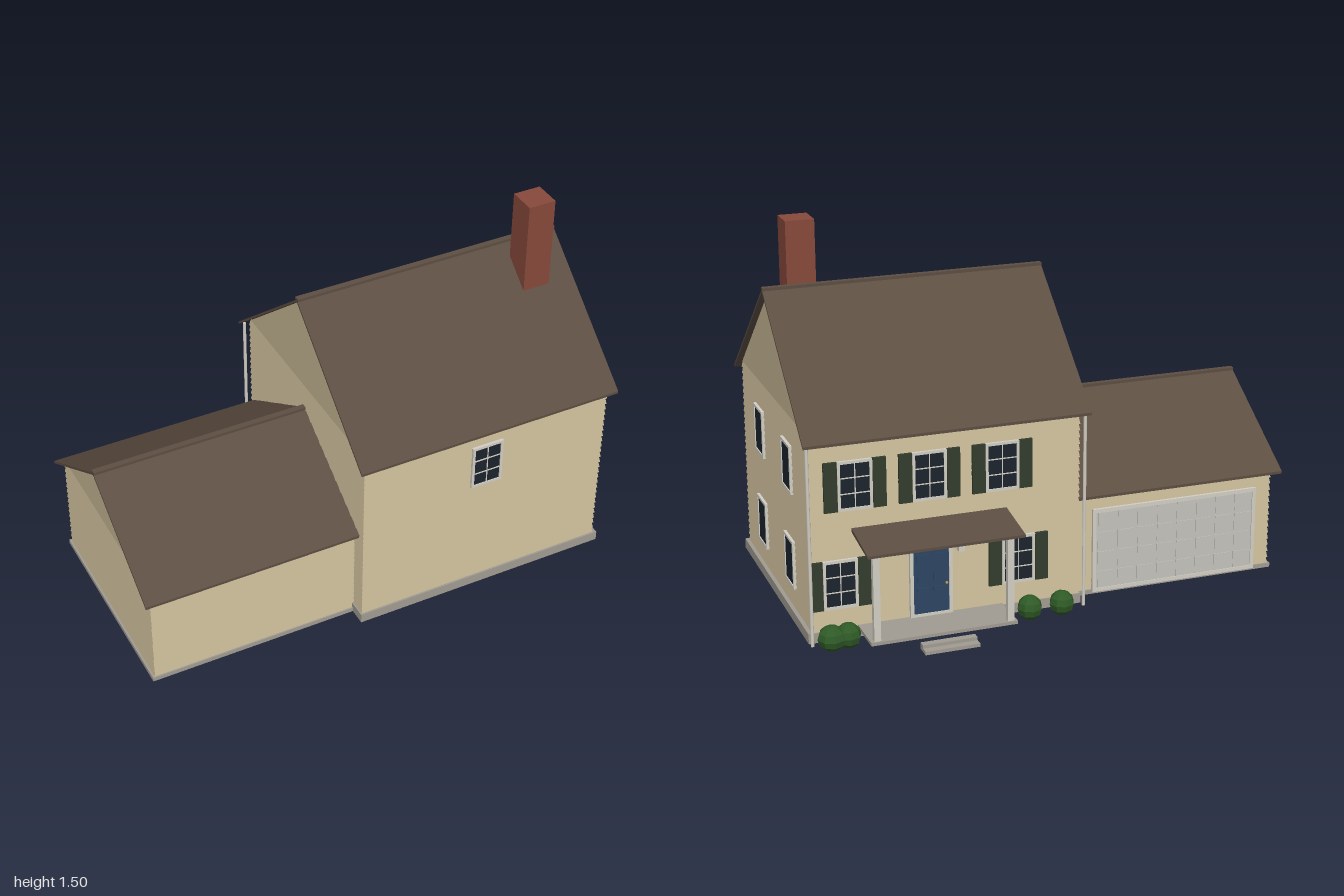
import * as THREE from 'three';
import { mergeGeometries } from 'three/addons/utils/BufferGeometryUtils.js';

const mat = (color, extra = {}) => new THREE.MeshStandardMaterial({ color, ...extra });
const M = {
  wall: mat(0xc9ba97), stone: mat(0xa19c92), roof: mat(0x5d4e42), brick: mat(0x87493b),
  glass: mat(0x1c232c), trim: mat(0xd2cec4), shutter: mat(0x333d2e), door: mat(0x2d4563),
  bush: mat(0x2f5a27, { flatShading: true }), panel: mat(0xc4c2bc), metal: mat(0xb59a55),
};

function add(parent, name, geometry, material, x = 0, y = 0, z = 0) {
  const mesh = new THREE.Mesh(geometry, material);
  mesh.name = name;
  mesh.position.set(x, y, z);
  parent.add(mesh);
  return mesh;
}

// Box given by its minimum and maximum on each axis
function span(parent, name, material, [x0, x1], [y0, y1], [z0, z1]) {
  return add(parent, name, new THREE.BoxGeometry(x1 - x0, y1 - y0, z1 - z0), material,
    (x0 + x1) / 2, (y0 + y1) / 2, (z0 + z1) / 2);
}

// Walls of lapped boards: every course flares slightly towards its lower edge
function sidedWalls(parent, name, [x0, x1], [y0, y1], [z0, z1]) {
  const rows = Math.round((y1 - y0) / 0.027), h = (y1 - y0) / rows, lap = 0.005;
  const courses = [];
  for (let i = 0; i < rows; i++) {
    const g = new THREE.BoxGeometry(x1 - x0, h, z1 - z0);
    const p = g.attributes.position;
    for (let k = 0; k < p.count; k++) {
      if (p.getY(k) > 0) continue;
      p.setX(k, p.getX(k) + Math.sign(p.getX(k)) * lap);
      p.setZ(k, p.getZ(k) + Math.sign(p.getZ(k)) * lap);
    }
    g.computeVertexNormals();
    courses.push(g.translate((x0 + x1) / 2, y0 + h * (i + 0.5), (z0 + z1) / 2));
  }
  add(parent, name, mergeGeometries(courses), M.wall);
}

// Prism along x from a [z, y] outline
function prism(parent, name, material, outline, [x0, x1]) {
  const shape = new THREE.Shape(outline.map(([z, y]) => new THREE.Vector2(-z, y)));
  const g = new THREE.ExtrudeGeometry(shape, { depth: x1 - x0, bevelEnabled: false });
  return add(parent, name, g.rotateY(Math.PI / 2), material, x0);
}

// Gable wall, thin pitched roof and ridge cap
function gabledRoof(parent, name, { wallX, roofX, wallZ, wallTop, eaveZ, eaveY, ridge: [rz, ry] }) {
  const t = 0.011;
  prism(parent, name + 'Gable', M.wall,
    [[wallZ[1], wallTop], [rz, ry - t], [wallZ[0], wallTop]], wallX);
  prism(parent, name + 'Roof', M.roof, [
    [eaveZ[1], eaveY], [rz, ry], [eaveZ[0], eaveY],
    [eaveZ[0], eaveY - t], [rz, ry - t], [eaveZ[1], eaveY - t]], roofX);
  span(parent, name + 'RidgeCap', M.roof, roofX, [ry - 0.006, ry + 0.006], [rz - 0.012, rz + 0.012]);
}

// Rectangular frame with an opening, facing +z
function frameGeometry(w, h, t, depth) {
  const rect = (Type, a, b) => new Type([[-a, -b], [a, -b], [a, b], [-a, b]]
    .map(([x, y]) => new THREE.Vector2(x, y)));
  const shape = rect(THREE.Shape, w / 2, h / 2);
  shape.holes.push(rect(THREE.Path, w / 2 - t, h / 2 - t));
  return new THREE.ExtrudeGeometry(shape, { depth, bevelEnabled: false });
}

function makeWindow(parent, name, [x, y, z], turn, { muntins = true, shutters = false } = {}) {
  const g = new THREE.Group(), w = 0.135, h = 0.195;
  g.name = name;
  g.position.set(x, y, z);
  g.rotation.y = turn;
  add(g, 'windowFrame', frameGeometry(w, h, 0.011, 0.012), M.trim);
  add(g, 'glass', new THREE.BoxGeometry(w - 0.02, h - 0.02, 0.008), M.glass, 0, 0, 0.004);
  if (muntins) {
    add(g, 'verticalMuntin', new THREE.BoxGeometry(0.004, h - 0.02, 0.004), M.trim, 0, 0, 0.009);
    for (const s of [-1, 1])
      add(g, 'crossMuntin', new THREE.BoxGeometry(w - 0.02, 0.004, 0.004), M.trim, 0, s * 0.031, 0.009);
  }
  if (shutters) for (const s of [-1, 1]) {
    add(g, 'shutter', new THREE.BoxGeometry(0.052, h, 0.012), M.shutter, s * (w / 2 + 0.027), 0, 0.006);
  }
  parent.add(g);
}

export function createModel() {
  const house = new THREE.Group();
  house.name = 'house';

  // Main block
  span(house, 'mainFoundation', M.stone, [-0.115, 0.985], [0.012, 0.052], [-0.402, 0.62]);
  sidedWalls(house, 'mainWalls', [-0.105, 0.965], [0.05, 0.835], [-0.392, 0.608]);
  gabledRoof(house, 'main', {
    wallX: [-0.105, 0.967], roofX: [-0.14, 0.992], wallZ: [-0.392, 0.608], wallTop: 0.833,
    eaveZ: [-0.437, 0.65], eaveY: 0.808, ridge: [0.108, 1.263],
  });
  span(house, 'chimney', M.brick, [0.765, 0.88], [1.0, 1.505], [0.16, 0.275]);

  // Garage wing
  span(house, 'garageFoundation', M.stone, [-0.978, -0.11], [0.012, 0.03], [-0.338, 0.548]);
  sidedWalls(house, 'garageWalls', [-0.965, -0.11], [0.028, 0.455], [-0.328, 0.538]);
  gabledRoof(house, 'garage', {
    wallX: [-0.965, -0.11], roofX: [-1, -0.108], wallZ: [-0.328, 0.538], wallTop: 0.453,
    eaveZ: [-0.37, 0.58], eaveY: 0.438, ridge: [0.105, 0.734],
  });

  // Garage door with raised panels
  const gx = -0.545, gw = 0.68, gy = 0.195, gh = 0.33, gz = -0.332;
  add(house, 'garageDoorFrame', frameGeometry(gw + 0.03, gh + 0.02, 0.015, 0.012), M.trim, gx, gy, gz - 0.012);
  add(house, 'garageDoor', new THREE.BoxGeometry(gw, gh, 0.008), M.panel, gx, gy, gz - 0.004);
  for (let r = 0; r < 4; r++) for (let c = 0; c < 8; c++) {
    add(house, 'garageDoorPanel', new THREE.BoxGeometry(gw / 8 - 0.015, gh / 4 - 0.012, 0.004), M.panel,
      gx + (c - 3.5) * gw / 8, gy + (r - 1.5) * gh / 4, gz - 0.009);
  }

  // Windows: shuttered on the entrance side, plain elsewhere
  const upper = 0.625, lower = 0.237;
  for (const x of [0.21, 0.5, 0.79])
    makeWindow(house, 'upperWindow', [x, upper, -0.395], Math.PI, { shutters: true });
  for (const x of [0.145, 0.855])
    makeWindow(house, 'lowerWindow', [x, lower, -0.395], Math.PI, { shutters: true });
  for (const z of [-0.105, 0.325]) for (const y of [upper, lower])
    makeWindow(house, 'sideWindow', [0.967, y, z], Math.PI / 2, { muntins: false });
  makeWindow(house, 'rearWindow', [0.428, upper, 0.61], 0);

  // Entrance door with panels, knob and lamp
  add(house, 'doorFrame', frameGeometry(0.17, 0.29, 0.014, 0.014), M.trim, 0.5, 0.2, -0.41);
  add(house, 'frontDoor', new THREE.BoxGeometry(0.145, 0.27, 0.012), M.door, 0.5, 0.195, -0.4);
  for (const s of [-1, 1]) for (const [y, h] of [[0.13, 0.09], [0.255, 0.11]])
    add(house, 'doorPanel', new THREE.BoxGeometry(0.048, h, 0.004), M.door, 0.5 + s * 0.033, y, -0.407);
  add(house, 'doorKnob', new THREE.SphereGeometry(0.006, 8, 6), M.metal, 0.44, 0.185, -0.412);
  span(house, 'wallLamp', M.trim, [0.37, 0.395], [0.31, 0.335], [-0.425, -0.395]);

  // Porch: deck, sloping roof, columns and steps
  span(house, 'porchDeck', M.stone, [0.21, 0.79], [0.045, 0.058], [-0.572, -0.395]);
  prism(house, 'porchRoof', M.roof,
    [[-0.392, 0.452], [-0.602, 0.418], [-0.602, 0.407], [-0.392, 0.436]], [0.19, 0.805]);
  for (const x of [0.235, 0.763])
    span(house, 'porchColumn', M.trim, [x - 0.013, x + 0.013], [0.055, 0.42], [-0.565, -0.541]);
  span(house, 'lowerStep', M.stone, [0.39, 0.605], [0.013, 0.027], [-0.65, -0.59]);
  span(house, 'upperStep', M.stone, [0.39, 0.605], [0.027, 0.04], [-0.62, -0.59]);

  // Corner downspouts
  for (const x of [-0.118, 0.977])
    add(house, 'downspout', new THREE.CylinderGeometry(0.007, 0.007, 0.79, 8), M.trim, x, 0.407, -0.426);

  // Shrubs
  for (const [x, z, r] of [[-0.015, -0.455, 0.05], [0.118, -0.455, 0.05], [0.845, -0.455, 0.05], [0.91, -0.458, 0.056]]) {
    const bush = add(house, 'bush', new THREE.SphereGeometry(r, 8, 6), M.bush, x, 0.05, z);
    bush.scale.y = 0.05 / r;
  }
  return house;
}
